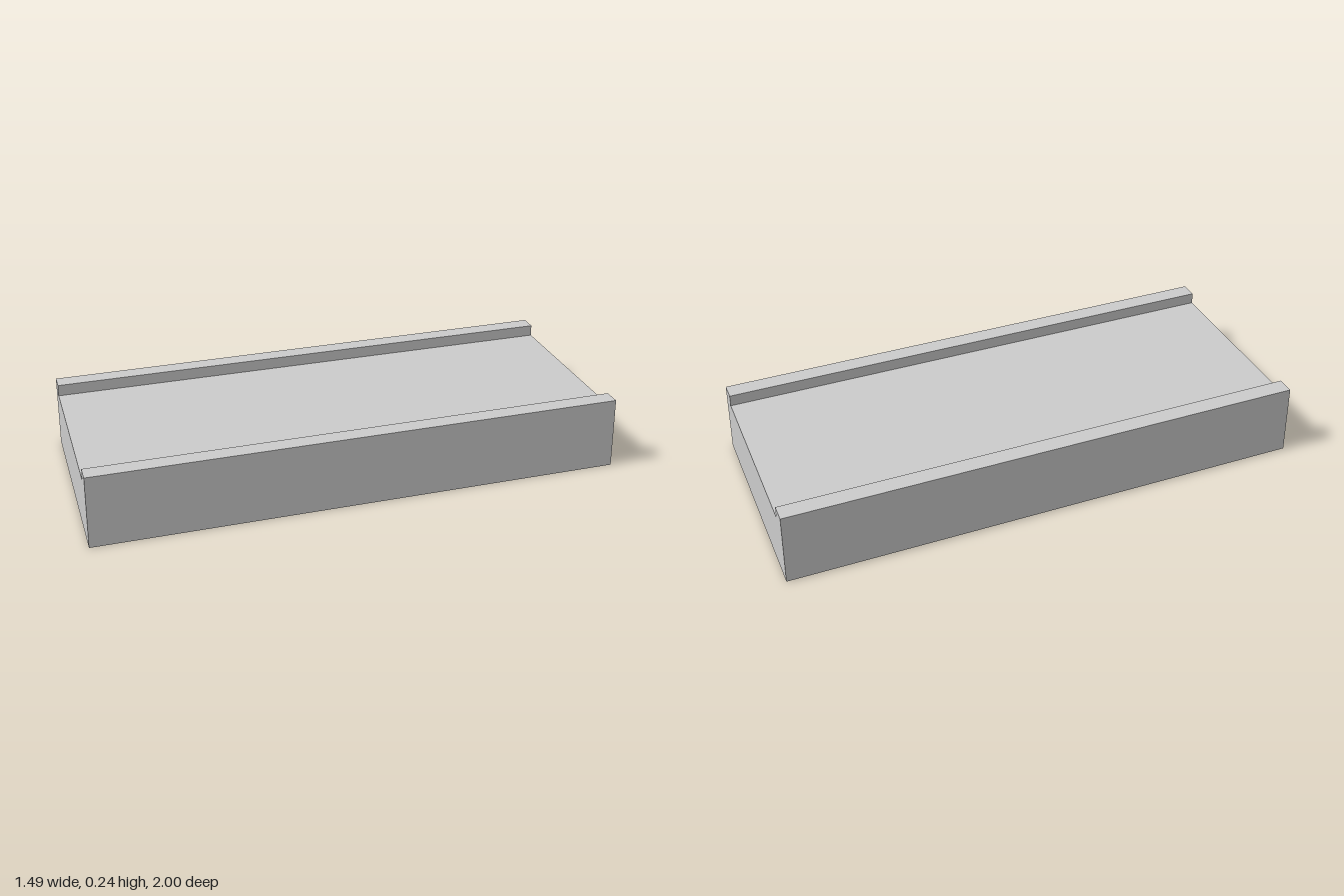
import * as THREE from 'three';

const DECK = 0.2;    // height of the deck
const TOP = 0.238;   // height of the side kerbs
const KERB = 0.08;   // kerb width as a fraction of the deck width

export function createModel() {
  const model = new THREE.Group();
  model.name = 'bridgeDeck';

  // Cross-section: a slab with a raised kerb along each edge, one unit wide
  const inner = 0.5 - KERB;
  const profile = new THREE.Shape([
    [-0.5, 0], [0.5, 0], [0.5, TOP], [inner, TOP],
    [inner, DECK], [-inner, DECK], [-inner, TOP], [-0.5, TOP],
  ].map(([x, y]) => new THREE.Vector2(x, y)));

  const geometry = new THREE.ExtrudeGeometry(profile, { depth: 1, bevelEnabled: false });
  geometry.translate(0, 0, -0.5);

  // Lay the slab out on its slightly skewed plan: width and length directions
  const across = new THREE.Vector3(0.692, 0, 0.4);
  const up = new THREE.Vector3(0, 1, 0);
  const along = new THREE.Vector3(-0.798, 0, 1.6);
  geometry.applyMatrix4(new THREE.Matrix4().makeBasis(across, up, along));
  geometry.computeVertexNormals();

  const slab = new THREE.Mesh(
    geometry,
    new THREE.MeshStandardMaterial({ color: 0xcccccc, flatShading: true }),
  );
  slab.name = 'deckWithKerbs';
  model.add(slab);
  return model;
}
